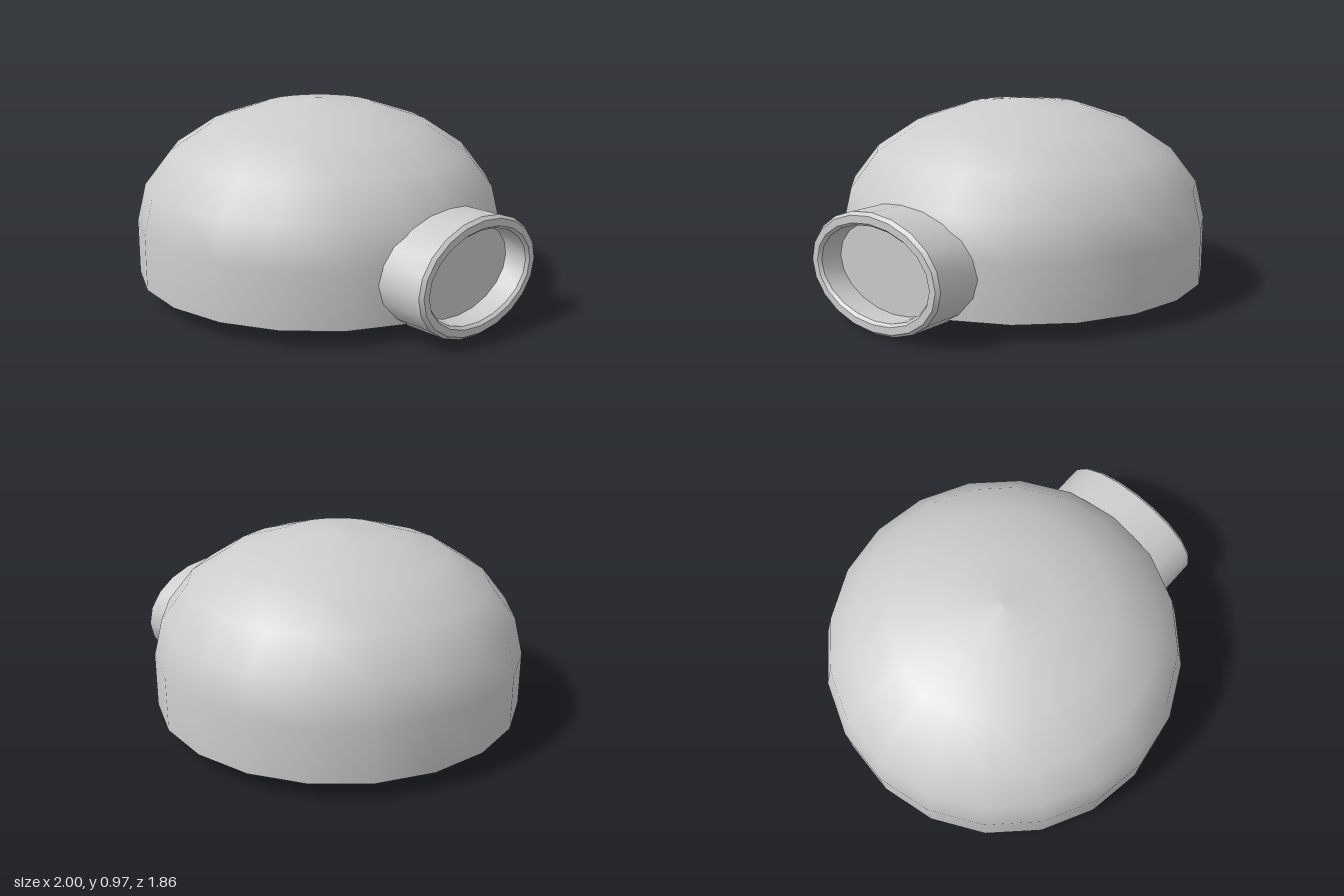
import * as THREE from 'three';
import { toCreasedNormals } from 'three/addons/utils/BufferGeometryUtils.js';

const SIDES = 20;

// Closed loft of ellipses along x; each ring is [x, inset], inset null = centre point
function ellipseLoft(rings, rz, ry) {
  const pos = [], index = [];
  for (const [x, inset] of rings) {
    for (let i = 0; i < SIDES; i++) {
      const a = (i / SIDES) * Math.PI * 2;
      const b = inset === null ? 0 : ry - inset;
      const c = inset === null ? 0 : rz - inset;
      pos.push(x, b * Math.cos(a), c * Math.sin(a));
    }
  }
  for (let r = 0; r < rings.length - 1; r++) {
    for (let i = 0; i < SIDES; i++) {
      const j = (i + 1) % SIDES;
      const a = r * SIDES + i, b = r * SIDES + j;
      const c = a + SIDES, d = b + SIDES;
      if (rings[r][1] !== null) index.push(a, b, d);
      if (rings[r + 1][1] !== null) index.push(a, d, c);
    }
  }
  const geo = new THREE.BufferGeometry();
  geo.setAttribute('position', new THREE.Float32BufferAttribute(pos, 3));
  geo.setIndex(index);
  return toCreasedNormals(geo, 0.6);
}

export function createModel() {
  const group = new THREE.Group();
  const material = new THREE.MeshStandardMaterial({ color: 0xcccccc, side: THREE.DoubleSide });

  // Thin open dome: short straight wall, then a flattened hemisphere
  const radius = 0.93, wallTop = 0.36, rise = 0.61;
  const profile = [new THREE.Vector2(radius, 0.085)];
  for (let i = 0; i <= 5; i++) {
    const a = (i * Math.PI) / 10;
    profile.push(new THREE.Vector2(i === 5 ? 0 : radius * Math.cos(a), wallTop + rise * Math.sin(a)));
  }
  const dome = new THREE.Mesh(new THREE.LatheGeometry(profile, SIDES), material);
  dome.name = 'domeShell';
  dome.position.x = -0.07;
  group.add(dome);

  // Oval port on the side: bevelled rim and a recessed flat face
  const port = new THREE.Mesh(ellipseLoft([
    [0.63, null], [0.63, 0], [0.983, 0], [1, 0.015],
    [1, 0.05], [0.985, 0.063], [0.87, 0.063], [0.87, null],
  ], 0.414, 0.282), material);
  port.name = 'ovalPort';
  port.position.y = 0.282;
  group.add(port);

  return group;
}
